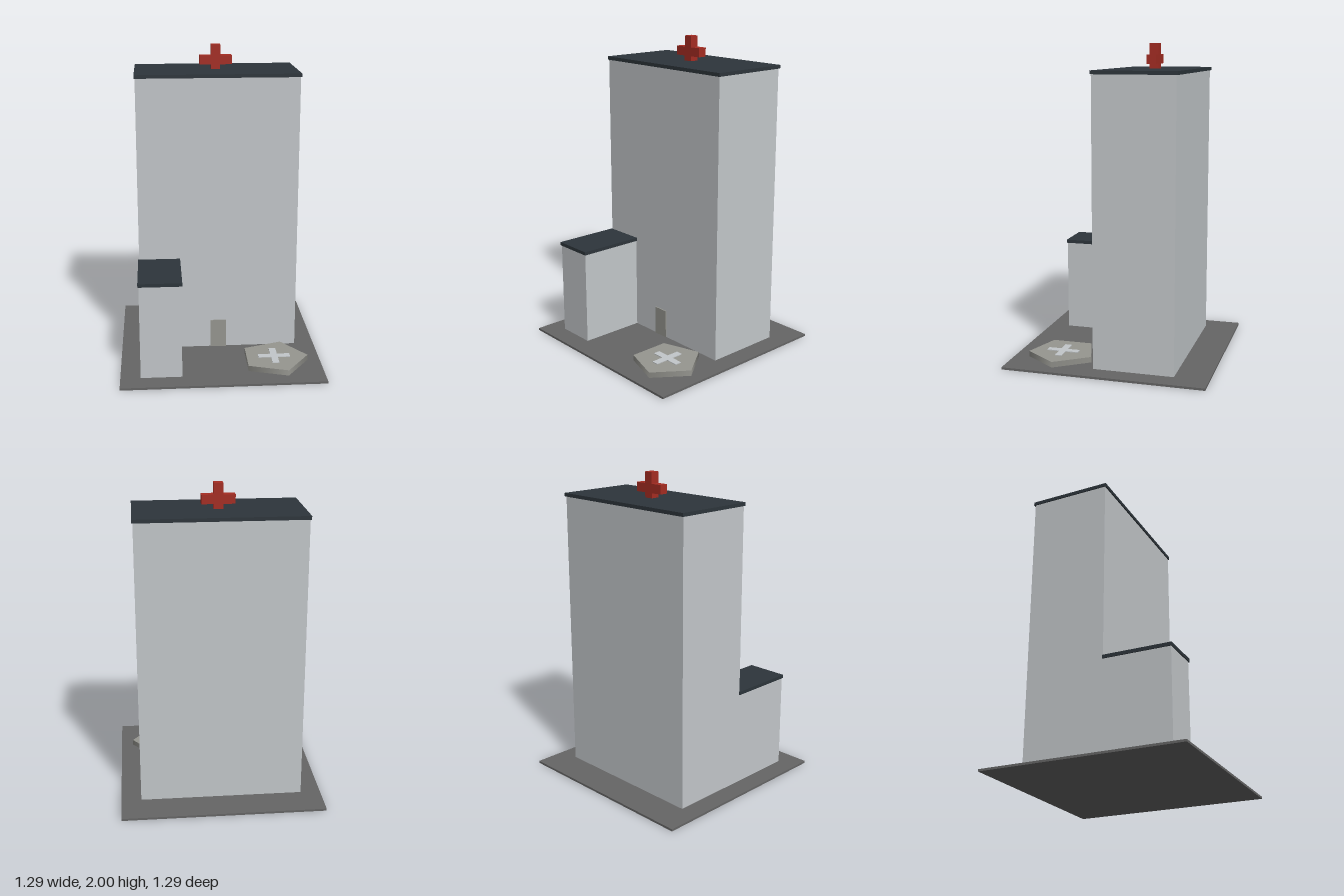
import * as THREE from 'three';

const colour = (name, hex) => {
  const m = new THREE.MeshStandardMaterial({ color: hex });
  m.name = name;
  return m;
};

export function createModel() {
  const wall = colour('pale wall', 0xc3c7ca);
  const roof = colour('dark slate', 0x2d353b);
  const paving = colour('paving grey', 0x666666);
  const concrete = colour('concrete', 0x969690);
  const red = colour('signal red', 0xa52c22);

  const model = new THREE.Group();
  model.name = 'hospital';

  // Box given by its minimum and maximum corners
  const box = (name, material, [x0, y0, z0], [x1, y1, z1], parent = model) => {
    const mesh = new THREE.Mesh(new THREE.BoxGeometry(x1 - x0, y1 - y0, z1 - z0), material);
    mesh.position.set((x0 + x1) / 2, (y0 + y1) / 2, (z0 + z1) / 2);
    mesh.name = name;
    parent.add(mesh);
    return mesh;
  };

  // Ground slab
  box('ground', paving, [-0.643, 0, -0.643], [0.643, 0.014, 0.643]);

  // Main tower and its overhanging roof
  box('tower', wall, [-0.516, 0.014, -0.427], [0.516, 1.82, 0.086]);
  box('towerRoof', roof, [-0.522, 1.82, -0.436], [0.522, 1.842, 0.093]);

  // Low side wing
  box('wing', wall, [-0.516, 0.014, 0.086], [-0.256, 0.62, 0.516]);
  box('wingRoof', roof, [-0.522, 0.62, 0.082], [-0.25, 0.642, 0.522]);

  // Entrance door
  box('door', concrete, [-0.052, 0.014, 0.08], [0.052, 0.203, 0.094]);

  // Rooftop cross
  const sign = new THREE.Group();
  sign.name = 'roofCross';
  model.add(sign);
  box('crossPost', red, [-0.029, 1.842, -0.202], [0.029, 2, -0.144], sign);
  for (const s of [-1, 1]) {
    box('crossArm', red, [Math.min(s * 0.029, s * 0.103), 1.873, -0.202],
      [Math.max(s * 0.029, s * 0.103), 1.93, -0.144], sign);
  }

  // Five-sided helipad with one corner towards +x
  const pad = new THREE.Group();
  pad.name = 'helipad';
  pad.position.set(0.343, 0, 0.34);
  model.add(pad);
  const slab = new THREE.Mesh(
    new THREE.CylinderGeometry(0.22, 0.22, 0.036, 5, 1, false, Math.PI / 2), concrete);
  slab.name = 'padSlab';
  slab.position.y = 0.032;
  pad.add(slab);

  // Painted marking on the pad
  box('padMarkLong', wall, [-0.103, 0.05, -0.022], [0.103, 0.055, 0.022], pad);
  box('padMarkFront', wall, [-0.022, 0.05, 0.022], [0.022, 0.055, 0.103], pad);
  box('padMarkBack', wall, [-0.022, 0.05, -0.103], [0.022, 0.055, -0.022], pad);

  return model;
}
